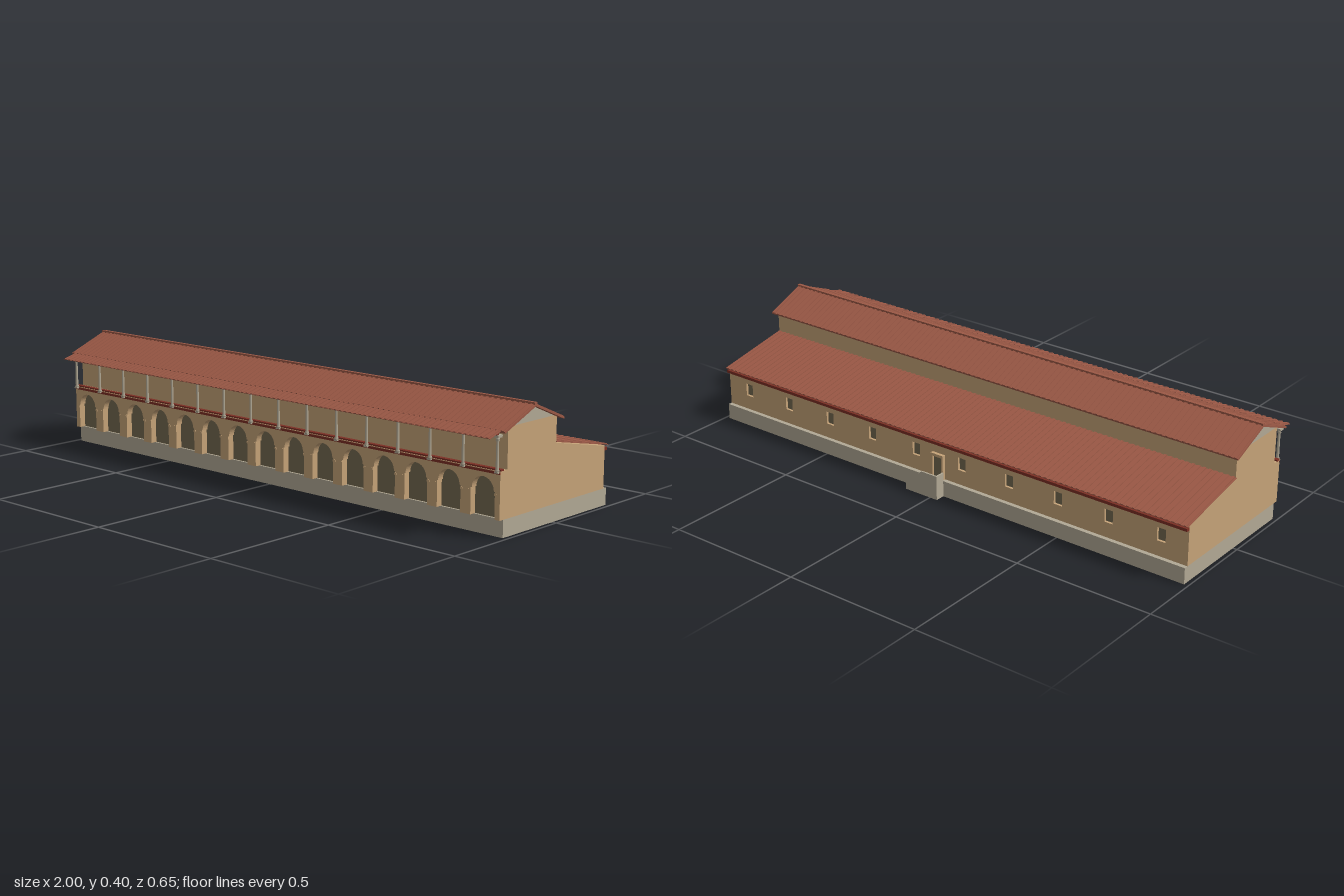
import * as THREE from 'three';
import { mergeGeometries } from 'three/addons/utils/BufferGeometryUtils.js';

const material = (name, color) => {
  const m = new THREE.MeshStandardMaterial({ color });
  m.name = name;
  return m;
};

export function createModel() {
  const model = new THREE.Group();
  const plaster = material('tan plaster', 0xc6a378);
  const stone = material('pale stone', 0xb2a995);
  const tile = material('roof tile', 0x9c5946);
  const trim = material('dark red trim', 0x7c2f24);
  const dark = material('dark opening', 0x736950);

  const add = (name, geometry, mat) => {
    const mesh = new THREE.Mesh(geometry, mat);
    mesh.name = name;
    model.add(mesh);
    return mesh;
  };
  // Box from its lower and upper limits
  const block = (x0, x1, y0, y1, z0, z1) =>
    new THREE.BoxGeometry(x1 - x0, y1 - y0, z1 - z0)
      .translate((x0 + x1) / 2, (y0 + y1) / 2, (z0 + z1) / 2);
  const polygon = pts => new THREE.Shape(pts.map(p => new THREE.Vector2(p[0], p[1])));
  // Section given as (z, y), run along x
  const alongX = (pts, half) =>
    new THREE.ExtrudeGeometry(polygon(pts), { depth: 2 * half, bevelEnabled: false })
      .rotateY(-Math.PI / 2).translate(half, 0, 0);
  // Face given as (x, y), run along z
  const alongZ = (shape, z0, z1) =>
    new THREE.ExtrudeGeometry(shape, { depth: z1 - z0, bevelEnabled: false, curveSegments: 10 })
      .translate(0, 0, z0);

  const L = 0.985;   // half length of the walls

  // Base and main body
  add('stoneBase', block(-L, L, 0, 0.057, -0.29, 0.252), stone);
  add('body', alongX([[-0.263, 0.057], [0.245, 0.057], [0.245, 0.209], [0.236, 0.209],
    [0.236, 0.34], [-0.01, 0.34], [-0.01, 0.251], [-0.263, 0.2]], L), plaster);
  add('gable', alongX([[0.236, 0.34], [0.12, 0.387], [-0.01, 0.34]], L), stone);

  // Front arcade: a wall layer with fifteen arched notches
  const arcade = new THREE.Shape();
  const floor = 0.057, spring = 0.143, r = 0.042, jamb = 0.046;
  const panels = [], imposts = [];
  arcade.moveTo(-L, floor);
  for (let i = -7; i <= 7; i++) {
    const x = i * 0.1314;
    arcade.lineTo(x - jamb, floor);
    arcade.lineTo(x - jamb, spring);
    arcade.lineTo(x - r, spring);
    arcade.absarc(x, spring, r, Math.PI, 0, true);
    arcade.lineTo(x + jamb, spring);
    arcade.lineTo(x + jamb, floor);
    panels.push(block(x - 0.048, x + 0.048, floor + 0.001, 0.19, 0.245, 0.247));
    for (const s of [-1, 1]) {
      const c = x + s * (jamb + 0.004);
      imposts.push(block(c - 0.005, c + 0.005, 0.131, 0.138, 0.26, 0.272));
    }
  }
  arcade.lineTo(L, floor);
  arcade.lineTo(L, 0.209);
  arcade.lineTo(-L, 0.209);
  add('arcadeWall', alongZ(arcade, 0.245, 0.27), plaster);
  add('archPanels', mergeGeometries(panels), dark);
  add('archImposts', mergeGeometries(imposts), plaster);

  // Gallery edge trim, columns and beam
  add('galleryRail', block(-L, L, 0.207, 0.214, 0.253, 0.268), trim);
  add('galleryTrim', block(-L, L, 0.199, 0.207, 0.268, 0.2715), trim);
  const profile = [[0, 0.207], [0.007, 0.207], [0.007, 0.212], [0.005, 0.216], [0.0042, 0.3],
    [0.0065, 0.303], [0.0055, 0.307], [0.008, 0.315], [0, 0.315]];
  const columns = [];
  for (let i = 0; i < 16; i++) {
    const x = -0.975 + i * 0.13;
    columns.push(new THREE.LatheGeometry(profile.map(p => new THREE.Vector2(p[0], p[1])), 12)
      .translate(x, 0, 0.273));
    columns.push(block(x - 0.0075, x + 0.0075, 0.203, 0.208, 0.266, 0.279));
    columns.push(block(x - 0.01, x + 0.01, 0.313, 0.318, 0.264, 0.282));
  }
  add('galleryColumns', mergeGeometries(columns), stone);
  add('galleryBeam', block(-L, L, 0.317, 0.321, 0.262, 0.284), stone);

  // Roof slope: a thin slab carrying ribs of tile; the line given is its top
  const roof = (name, z0, y0, z1, y1, half, thick) => {
    const len = Math.hypot(z1 - z0, y1 - y0);
    const rib = 0.0025;
    const parts = [block(-half, half, -thick, -rib, -len / 2, len / 2)];
    const n = Math.round(2 * half / 0.021);
    for (let i = 0; i < n; i++) {
      const x = -half + (i + 0.5) * 2 * half / n;
      parts.push(block(x - 0.005, x + 0.005, -rib - 0.0005, 0, -len / 2, len / 2));
    }
    const mesh = add(name, mergeGeometries(parts), tile);
    mesh.rotation.x = Math.atan2(y0 - y1, z1 - z0);
    mesh.position.set(0, (y0 + y1) / 2, (z0 + z1) / 2);
  };
  roof('frontRoof', 0.12, 0.397, 0.273, 0.335, 1, 0.009);
  roof('backRoof', -0.031, 0.335, 0.12, 0.397, 1, 0.009);
  roof('porchRoof', 0.272, 0.335, 0.325, 0.32, L, 0.004);
  roof('rearLeanRoof', -0.291, 0.203, -0.01, 0.2585, L + 0.003, 0.0045);
  add('ridgeCap', block(-1, 1, 0.388, 0.4, 0.114, 0.126), tile);

  // Rafter ends below the porch roof
  const rafters = [];
  for (let i = 0; i < 94; i++) {
    const x = -0.977 + i * 0.021;
    rafters.push(block(x - 0.004, x + 0.004, 0.321, 0.3275, 0.274, 0.284));
  }
  add('rafterEnds', mergeGeometries(rafters), trim);

  // Rear wall with windows, door and eaves strip
  const rear = polygon([[-L, 0.057], [L, 0.057], [L, 0.199], [-L, 0.199]]);
  const panes = [];
  for (let i = 0; i < 10; i++) {
    const x = (i - 4.5) * 0.197, w = 0.016, b = 0.11, t = 0.156;
    rear.holes.push(new THREE.Path([[x - w, b], [x - w, t], [x + w, t], [x + w, b]]
      .map(p => new THREE.Vector2(p[0], p[1]))));
    panes.push(block(x - w, x + w, b, t, -0.266, -0.263));
  }
  add('rearWall', alongZ(rear, -0.275, -0.263), plaster);
  add('rearWindows', mergeGeometries(panes), dark);
  add('rearEavesStrip', block(-L, L, 0.182, 0.192, -0.288, -0.275), trim);
  add('door', block(-0.019, 0.019, 0.057, 0.137, -0.279, -0.274), dark);
  add('doorFrame', mergeGeometries([
    block(-0.026, -0.018, 0.057, 0.138, -0.287, -0.275),
    block(0.018, 0.026, 0.057, 0.138, -0.287, -0.275),
    block(-0.026, 0.026, 0.137, 0.147, -0.287, -0.275)]), plaster);

  // Rear stair with landing, steps and parapet
  const stair = [block(-0.03, 0.03, 0, 0.056, -0.32, -0.288),
    block(-0.03, -0.024, 0, 0.087, -0.32, -0.288)];
  for (let i = 0; i < 8; i++) {
    const x = 0.105 - i * 0.0094;
    stair.push(block(0.029, x, i * 0.0062, (i + 1) * 0.0062, -0.32, -0.288));
  }
  add('rearStair', mergeGeometries(stair), stone);
  add('stairParapet', alongZ(polygon([[-0.03, 0], [0.105, 0], [0.105, 0.034],
    [0.035, 0.087], [-0.03, 0.087]]), -0.325, -0.319), stone);

  return model;
}
